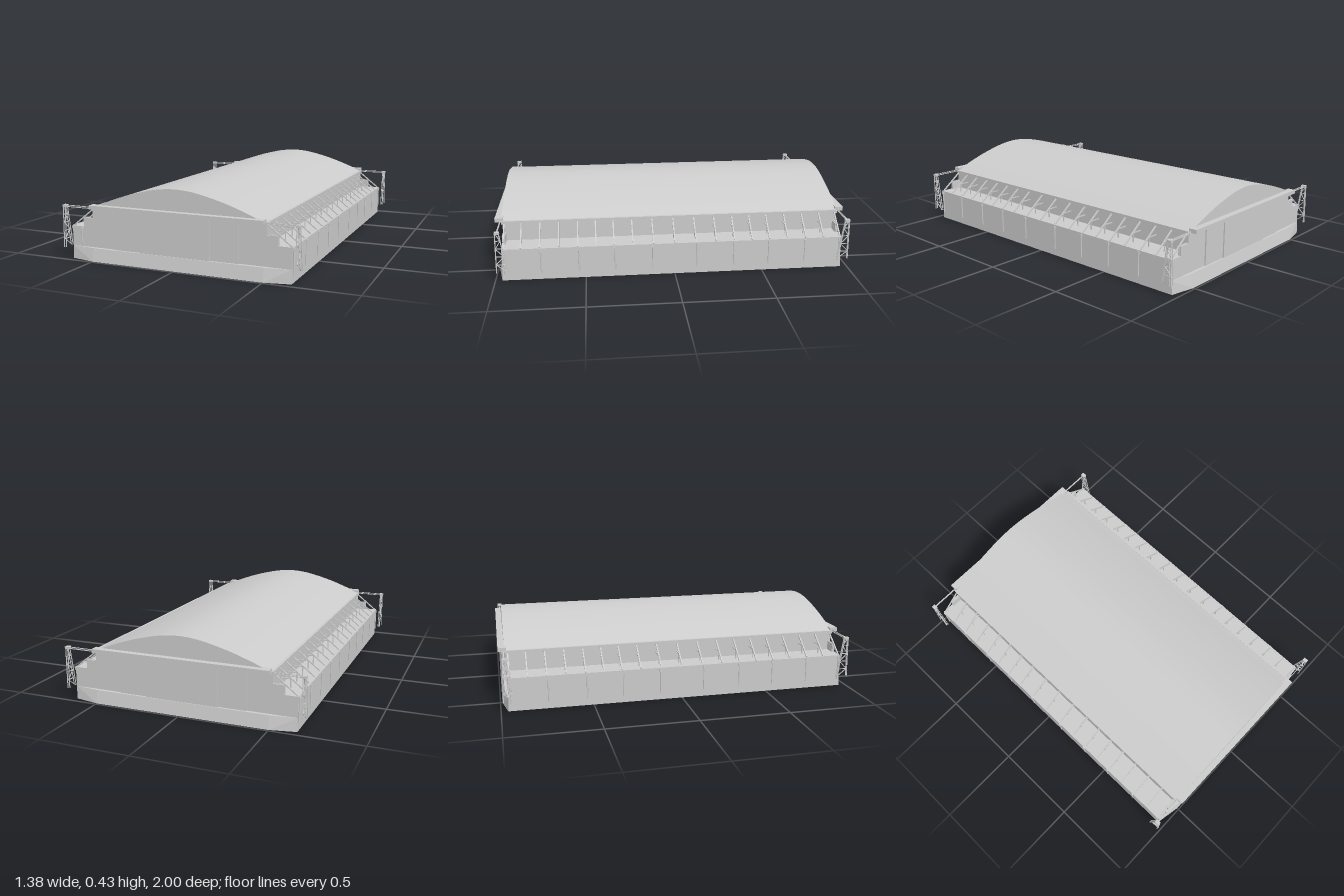
import * as THREE from 'three';
import { ConvexGeometry } from 'three/addons/geometries/ConvexGeometry.js';

const mat = new THREE.MeshStandardMaterial({ color: 0xcccccc });
const flat = new THREE.MeshStandardMaterial({ color: 0xcccccc, flatShading: true });

function add(parent, name, geometry, material = mat) {
  const m = new THREE.Mesh(geometry, material);
  m.name = name;
  parent.add(m);
  return m;
}

// box given by its min and max corners
function box(parent, name, x0, x1, y0, y1, z0, z1) {
  const m = add(parent, name, new THREE.BoxGeometry(Math.abs(x1 - x0), y1 - y0, Math.abs(z1 - z0)));
  m.position.set((x0 + x1) / 2, (y0 + y1) / 2, (z0 + z1) / 2);
  return m;
}

// thin square bar between two points
function bar(parent, name, a, b, t = 0.005) {
  const p = new THREE.Vector3(...a), q = new THREE.Vector3(...b);
  const m = add(parent, name, new THREE.BoxGeometry(t, t, p.distanceTo(q)));
  m.position.copy(p).add(q).multiplyScalar(0.5);
  m.lookAt(q);
  return m;
}

// lattice mast holding the door rail, outside one corner
function railTower(sx, sz) {
  const g = new THREE.Group();
  g.name = 'railTower';
  const top = 0.297, bottom = 0.065;
  const inner = (t) => 0.925 + 0.035 * t, outer = (t) => 0.985 - 0.005 * t;
  const y = (t) => bottom + (top - bottom) * t;
  for (const x of [0.672, 0.684]) {
    bar(g, 'towerLeg', [sx * x, bottom, sz * inner(0)], [sx * x, top, sz * inner(1)], 0.004);
    bar(g, 'towerLeg', [sx * x, bottom, sz * outer(0)], [sx * x, top, sz * outer(1)], 0.004);
  }
  const n = 5;
  for (let i = 0; i < n; i++) {
    const a = i / n, b = (i + 1) / n, flip = i % 2;
    bar(g, 'towerBrace', [sx * 0.678, y(a), sz * (flip ? outer(a) : inner(a))],
      [sx * 0.678, y(b), sz * (flip ? inner(b) : outer(b))], 0.004);
    bar(g, 'towerRung', [sx * 0.678, y(b), sz * inner(b)], [sx * 0.678, y(b), sz * outer(b)], 0.004);
  }
  box(g, 'towerCap', sx * 0.667, sx * 0.689, 0.29, 0.303, sz * 0.955, sz * 0.982);
  // door rail running from the hall out to the mast
  bar(g, 'doorRail', [sx * 0.49, 0.3, sz * 0.97], [sx * 0.685, 0.3, sz * 0.97], 0.004);
  bar(g, 'doorRail', [sx * 0.49, 0.292, sz * 0.97], [sx * 0.685, 0.292, sz * 0.97], 0.004);
  return g;
}

export function createModel() {
  const hangar = new THREE.Group();
  hangar.name = 'hangar';

  // plinth with sloping aprons and cut corners
  const corners = [];
  for (const sx of [-1, 1]) for (const sz of [-1, 1]) {
    for (const [x, y, z] of [[0.5, 0, 0.99], [0.643, 0, 0.962], [0.5, 0.073, 0.975], [0.643, 0.073, 0.957]]) {
      corners.push(new THREE.Vector3(sx * x, y, sz * z));
    }
  }
  add(hangar, 'plinth', new ConvexGeometry(corners), flat);

  // central hall
  box(hangar, 'hallWalls', -0.51, 0.51, 0.05, 0.295, -0.957, 0.957);

  // arched roof
  const shape = new THREE.Shape();
  shape.moveTo(-0.51, 0.28);
  shape.lineTo(0.51, 0.28);
  shape.lineTo(0.51, 0.295);
  const half = [[0.47, 0.311], [0.4, 0.339], [0.3, 0.374], [0.2, 0.402], [0.1, 0.423]];
  shape.splineThru([...half, [0, 0.431], ...half.slice().reverse().map(([x, y]) => [-x, y]), [-0.51, 0.295]]
    .map(([x, y]) => new THREE.Vector2(x, y)));
  const roof = new THREE.ExtrudeGeometry(shape, { depth: 1.93, bevelEnabled: false, curveSegments: 36 });
  roof.translate(0, 0, -0.965);
  add(hangar, 'archedRoof', roof);

  for (const sz of [-1, 1]) {
    // door canopy and sliding door leaves in stepped layers
    box(hangar, 'doorCanopy', -0.505, 0.505, 0.293, 0.315, sz * 0.955, sz * 1.0);
    box(hangar, 'sideDoors', -0.37, 0.36, 0.07, 0.29, sz * 0.95, sz * 0.964);
    box(hangar, 'middleDoors', -0.215, 0.2, 0.07, 0.29, sz * 0.95, sz * 0.971);
  }

  const half2 = [0.12, 0.235, 0.34, 0.44, 0.54, 0.645, 0.75, 0.853, 0.948];
  const strutZ = [0, ...half2, ...half2.map((z) => -z)];

  for (const sx of [-1, 1]) {
    // low side wing and roof gutter
    box(hangar, 'sideWing', sx * 0.5, sx * 0.643, 0.05, 0.185, -0.957, 0.957);
    box(hangar, 'wingEave', sx * 0.638, sx * 0.648, 0.178, 0.186, -0.955, 0.955);
    box(hangar, 'roofGutter', sx * 0.5, sx * 0.515, 0.286, 0.3, -0.958, 0.958);

    // raking struts over the wing roof
    for (const z of strutZ) {
      const strut = new THREE.Group();
      strut.name = 'roofStrut';
      bar(strut, 'rakingBar', [sx * 0.508, 0.288, z], [sx * 0.638, 0.186, z], 0.007);
      bar(strut, 'tieBar', [sx * 0.508, 0.235, z], [sx * 0.572, 0.235, z], 0.005);
      bar(strut, 'postBar', [sx * 0.57, 0.184, z], [sx * 0.57, 0.236, z], 0.005);
      hangar.add(strut);
    }

    // drainpipes with hopper heads on the wing wall
    for (const z of [0.125, 0.335, 0.535, 0.745, 0.945]) for (const sz of [-1, 1]) {
      const pipe = add(hangar, 'drainpipe', new THREE.CylinderGeometry(0.004, 0.004, 0.14, 8));
      pipe.position.set(sx * 0.647, 0.112, sz * z);
      box(hangar, 'pipeHead', sx * 0.641, sx * 0.653, 0.164, 0.178, sz * z - 0.006, sz * z + 0.006);
    }

    for (const sz of [-1, 1]) {
      // end housing on the wing roof
      box(hangar, 'wingEndHousing', sx * 0.505, sx * 0.57, 0.18, 0.235, sz * 0.94, sz * 0.957);
      hangar.add(railTower(sx, sz));
    }
  }

  // front drainpipe on the wing end
  const frontPipe = add(hangar, 'frontDrainpipe', new THREE.CylinderGeometry(0.004, 0.004, 0.1, 8));
  frontPipe.position.set(-0.58, 0.12, 0.96);
  box(hangar, 'pipeHead', -0.586, -0.574, 0.164, 0.178, 0.955, 0.966);

  return hangar;
}
